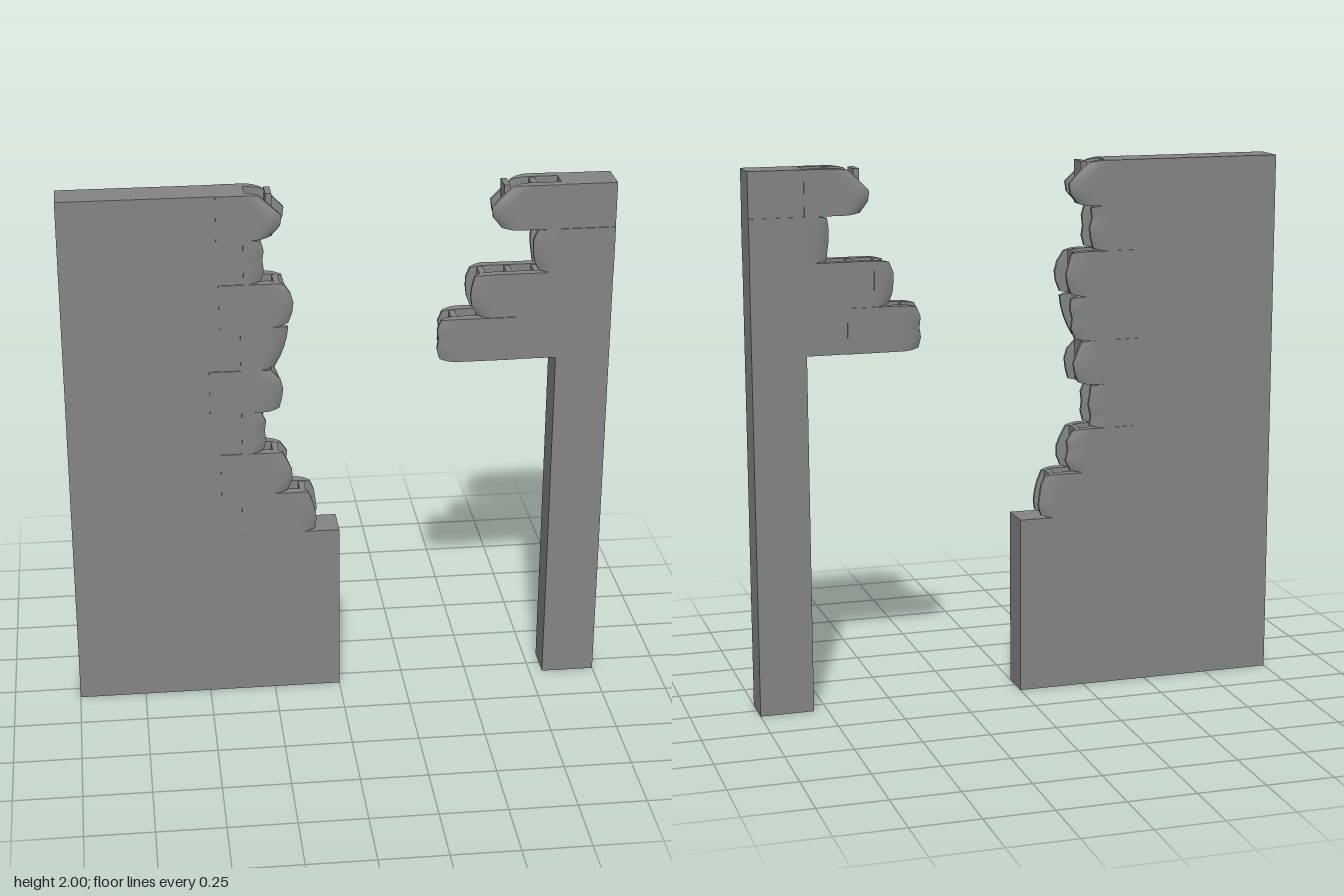
import * as THREE from 'three';
import { toCreasedNormals } from 'three/addons/utils/BufferGeometryUtils.js';

const ROW = 1 / 6;          // height of one course
const BASE = 2 / 3;         // first broken course starts here
const HALF = 0.066;         // half thickness of the wall
const PROUD = 0.07;         // block faces stand slightly proud
const INNER = 0.034;        // inner face of the hollow shells

export function createModel() {
  const concrete = new THREE.MeshStandardMaterial({ color: 0x838583 });
  concrete.name = 'concrete grey';
  const model = new THREE.Group();
  model.name = 'brokenBlockWall';

  function box(parent, name, x0, x1, y0, y1, z0, z1) {
    const mesh = new THREE.Mesh(new THREE.BoxGeometry(x1 - x0, y1 - y0, z1 - z0), concrete);
    mesh.position.set((x0 + x1) / 2, (y0 + y1) / 2, (z0 + z1) / 2);
    mesh.name = name;
    parent.add(mesh);
  }

  // One face of a hollow block: square at the joint, worn round at the broken end
  function shell(joint, ends, y0, side) {
    const rows = ends.length - 1;
    const g = new THREE.BoxGeometry(1, 1, 1, 12, rows * 2, 4);
    const p = g.attributes.position;
    for (let i = 0; i < p.count; i++) {
      const v = p.getY(i) + 0.5;
      const k = Math.min(rows - 1, Math.floor(v * rows));
      const end = THREE.MathUtils.lerp(ends[k], ends[k + 1], v * rows - k);
      let u = end > joint ? p.getX(i) + 0.5 : 0.5 - p.getX(i);
      u = 1 - (1 - u) ** 2;
      const w = side > 0 ? p.getZ(i) + 0.5 : 0.5 - p.getZ(i);
      const x = joint + (end - joint) * u;
      const worn = Math.max(0, 1 - Math.abs(end - x) / 0.06) ** 2;
      const outer = PROUD - 0.018 * worn;
      const inner = INNER + 0.004 * worn;
      const y = y0 + ROW * (0.5 + (v - 0.5) * (1 - 0.1 * worn));
      p.setXYZ(i, x, y, side * (inner + (outer - inner) * w));
    }
    return toCreasedNormals(g, 0.7);
  }

  // Two shells and the cross webs that join them
  function brokenBlock(parent, row, joint, solid, front, back) {
    const y0 = BASE + row * ROW;
    const block = new THREE.Group();
    block.name = 'brokenBlock' + (row + 1);
    [[front, 1, 'frontShell'], [back, -1, 'backShell']].forEach(([ends, side, name]) => {
      const mesh = new THREE.Mesh(shell(joint, ends, y0, side), concrete);
      mesh.name = name;
      block.add(mesh);
    });
    const dir = Math.sign(front[2] - joint);
    const reach = dir > 0 ? Math.min(front[2], back[2]) : Math.max(front[2], back[2]);
    for (let x = reach - dir * 0.045; (x - solid) * dir > 0.01; x -= dir * 0.1) {
      box(block, 'web', x - 0.011, x + 0.011, y0 + 0.004, y0 + ROW - 0.004, -0.04, 0.04);
    }
    parent.add(block);
  }

  // Left part: low wall with a tall solid side and a toothed edge
  const large = new THREE.Group();
  large.name = 'largeWall';
  model.add(large);
  const outline = new THREE.Shape([[-1, 0], [0, 0], [0, BASE], [-0.335, BASE], [-0.335, 2], [-1, 2]]
    .map(([x, y]) => new THREE.Vector2(x, y)));
  const slab = new THREE.Mesh(
    new THREE.ExtrudeGeometry(outline, { depth: HALF * 2, bevelEnabled: false }), concrete);
  slab.position.z = -HALF;
  slab.name = 'solidWall';
  large.add(slab);

  // joint, front end profile and back end profile from bottom to top
  [
    [-0.365, [-0.09, -0.085, -0.09, -0.1, -0.115], [-0.085, -0.075, -0.08, -0.085, -0.1]],
    [-0.44, [-0.19, -0.175, -0.175, -0.19, -0.21], [-0.2, -0.18, -0.19, -0.185, -0.21]],
    [-0.36, [-0.28, -0.27, -0.275, -0.27, -0.285], [-0.275, -0.28, -0.27, -0.275, -0.28]],
    [-0.475, [-0.22, -0.21, -0.205, -0.215, -0.25], [-0.23, -0.215, -0.21, -0.225, -0.24]],
    [-0.36, [-0.235, -0.215, -0.2, -0.19, -0.185], [-0.215, -0.2, -0.205, -0.195, -0.2]],
    [-0.435, [-0.185, -0.17, -0.165, -0.175, -0.2], [-0.2, -0.185, -0.18, -0.19, -0.2]],
    [-0.345, [-0.28, -0.27, -0.275, -0.27, -0.28], [-0.285, -0.275, -0.27, -0.28, -0.275]],
    [-0.44, [-0.245, -0.21, -0.205, -0.245, -0.285], [-0.225, -0.195, -0.19, -0.225, -0.27]],
  ].forEach(([joint, front, back], row) => brokenBlock(large, row, joint, -0.335, front, back));

  // Right part: narrow pier with courses jutting from its head
  const pier = new THREE.Group();
  pier.name = 'pier';
  model.add(pier);
  box(pier, 'post', 0.8, 1, 0, 2, -HALF, HALF);
  [
    [4, 0.65, [0.37, 0.36, 0.365, 0.36, 0.375], [0.385, 0.375, 0.38, 0.375, 0.39]],
    [5, 0.55, [0.505, 0.485, 0.48, 0.485, 0.495], [0.495, 0.48, 0.475, 0.475, 0.49]],
    [6, 1, [0.725, 0.71, 0.705, 0.705, 0.72], [0.72, 0.715, 0.71, 0.71, 0.715]],
    [7, 0.8, [0.585, 0.555, 0.55, 0.585, 0.63], [0.595, 0.565, 0.56, 0.595, 0.635]],
  ].forEach(([row, joint, front, back]) => brokenBlock(pier, row, joint, 0.8, front, back));

  // Smooth hollow courses between the post and the broken ends
  [[4, 0.64], [5, 0.54]].forEach(([row, x0]) => {
    const y0 = BASE + row * ROW;
    for (const side of [-1, 1]) {
      const z = side * (HALF + INNER) / 2, h = (HALF - INNER) / 2;
      box(pier, 'courseFace', x0, 0.81, y0, y0 + ROW, z - h, z + h);
    }
  });
  return model;
}
